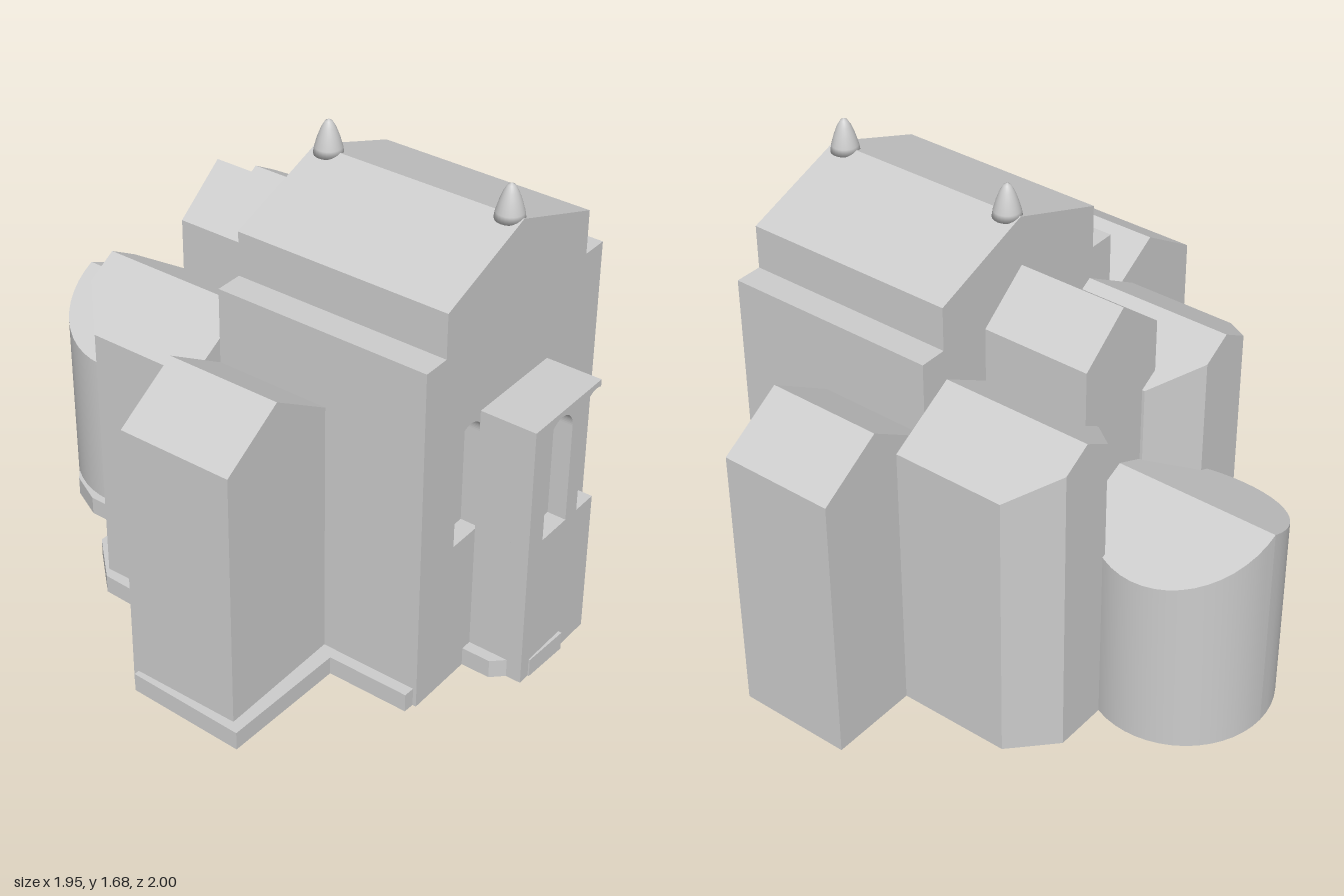
import * as THREE from 'three';
import { toCreasedNormals } from 'three/addons/utils/BufferGeometryUtils.js';

export function createModel() {
  const model = new THREE.Group();
  const stone = new THREE.MeshStandardMaterial({ color: 0xcccccc, side: THREE.DoubleSide });
  stone.name = 'stone';

  const add = (name, geometry) => {
    const mesh = new THREE.Mesh(geometry, stone);
    mesh.name = name;
    model.add(mesh);
    return mesh;
  };
  const outline = pts => new THREE.Shape(pts.map(([x, y]) => new THREE.Vector2(x, y)));

  // Extrudes a front elevation from z0 to z1
  const elevation = (shape, z0, z1) =>
    new THREE.ExtrudeGeometry(shape, { depth: z1 - z0, bevelEnabled: false, curveSegments: 16 }).translate(0, 0, z0);

  // Extrudes a ground plan given as [x, z] up to a height
  const plan = (pts, height) =>
    new THREE.ExtrudeGeometry(outline(pts.map(([x, z]) => [x, -z])), { depth: height, bevelEnabled: false })
      .rotateX(-Math.PI / 2);

  // Half plans mirrored about a ridge, their tops sloped down from it
  const pitched = (name, halfPlan, cx, ridgeY, slope) => {
    for (const s of [-1, 1]) {
      const g = plan(halfPlan.map(([x, z]) => [cx + s * x, z]), 1);
      const p = g.attributes.position;
      for (let i = 0; i < p.count; i++)
        if (p.getY(i) > 0.5) p.setY(i, ridgeY - slope * Math.abs(p.getX(i) - cx));
      g.computeVertexNormals();
      add(name, toCreasedNormals(g, 0.4));
    }
  };

  // Round-headed window opening
  const R = 0.0675, SILL = 0.535, SPRING = 0.9;
  const archHole = cx => {
    const path = new THREE.Path();
    path.moveTo(cx - R, SILL);
    path.lineTo(cx + R, SILL);
    path.lineTo(cx + R, SPRING);
    path.absarc(cx, SPRING, R, 0, Math.PI, false);
    path.lineTo(cx - R, SILL);
    return path;
  };

  // Stepped nave; its front layer has one blind window
  const nave = () => outline([
    [-0.47, 0], [0.505, 0], [0.505, 1.277], [0.405, 1.277], [0.405, 1.435],
    [0.018, 1.577], [-0.37, 1.435], [-0.37, 1.277], [-0.47, 1.277],
  ]);
  add('nave', elevation(nave(), 0, 0.72));
  const front = nave();
  front.holes.push(archHole(-0.2225));
  add('naveFront', elevation(front, 0.72, 0.785));

  // Transepts
  for (const [a, b] of [[-0.94, -0.47], [0.505, 0.97]]) {
    add('transept', elevation(outline([[a, 0], [b, 0], [b, 1.007], [(a + b) / 2, 1.153], [a, 1.007]]), 0, 0.415));
  }

  // Chancel
  add('chancel', elevation(outline([
    [-0.175, 0], [0.2, 0], [0.2, 1.25], [0.0125, 1.397], [-0.175, 1.25],
  ]), -0.4, 0));

  // Side chapels with chamfered ends
  for (const cx of [-0.355, 0.393]) {
    pitched('chapel', [[0, 0], [0.25, 0], [0.25, -0.41], [0.105, -0.55], [0, -0.55]], cx, 1.163, 0.58);
  }

  // Round apse under a pitched roof
  const half = [];
  for (let i = 0; i <= 24; i++) {
    const a = Math.PI * i / 24;
    half.push([0.321 * Math.sin(a), -0.679 + 0.321 * Math.cos(a)]);
  }
  pitched('apse', half, 0.0075, 0.79, 0.44);

  // Porch front with a middle window and one open to the side
  const porch = new THREE.Shape();
  porch.moveTo(-0.17, 0);
  porch.lineTo(0.205, 0);
  porch.lineTo(0.205, SILL);
  porch.lineTo(0.11, SILL);
  porch.lineTo(0.11, SPRING);
  porch.absarc(0.1775, SPRING, R, Math.PI, 1.15, true);
  porch.lineTo(0.205, 0.988);
  porch.lineTo(-0.17, 0.988);
  porch.closePath();
  porch.holes.push(archHole(-0.0225));
  add('porchFront', elevation(porch, 0.92, 0.987));

  // Wedge-shaped porch core, roof and partly open side wall
  add('porchCore', plan([[-0.17, 0.785], [-0.17, 0.92], [0.205, 0.92]], 0.98));
  add('porchRoof', new THREE.BoxGeometry(0.375, 0.008, 0.135)).position.set(0.0175, 0.984, 0.8525);
  const sides = [
    [[-0.785, 0.988], [-0.92, 0.988], [-0.92, SILL]],
    [[-0.92, SILL], [-0.92, 0], [-0.785, 0], [-0.785, 0.06]],
  ];
  for (const pts of sides) {
    add('porchSide', new THREE.ShapeGeometry(outline(pts)).rotateY(Math.PI / 2)).position.x = 0.205;
  }

  // Low plinth, slightly offset from the walls
  add('plinth', plan([
    [-0.96, 0.02], [-0.975, 0.455], [-0.51, 0.47], [-0.51, 0.77], [-0.21, 0.785], [-0.21, 0.89],
    [-0.125, 0.98], [-0.125, 0.992], [0.055, 1], [0.06, 0.785], [0.455, 0.79], [0.455, 0.45],
    [0.915, 0.45], [0.915, 0.02], [0.2, 0.02], [0.2, -0.5], [0, -0.9], [-0.16, -0.95],
    [-0.28, -0.85], [-0.34, -0.73], [-0.34, -0.54], [-0.5, -0.54], [-0.64, -0.39], [-0.655, 0.02],
  ], 0.068));

  // Ridge finials
  const profile = [[0, 0], [0.05, 0], [0.046, 0.025], [0.036, 0.06], [0.024, 0.092], [0.012, 0.113], [0, 0.12]]
    .map(([x, y]) => new THREE.Vector2(x, y));
  for (const z of [0.052, 0.733]) {
    add('finial', new THREE.LatheGeometry(profile, 24)).position.set(0.02, 1.562, z);
  }

  return model;
}
